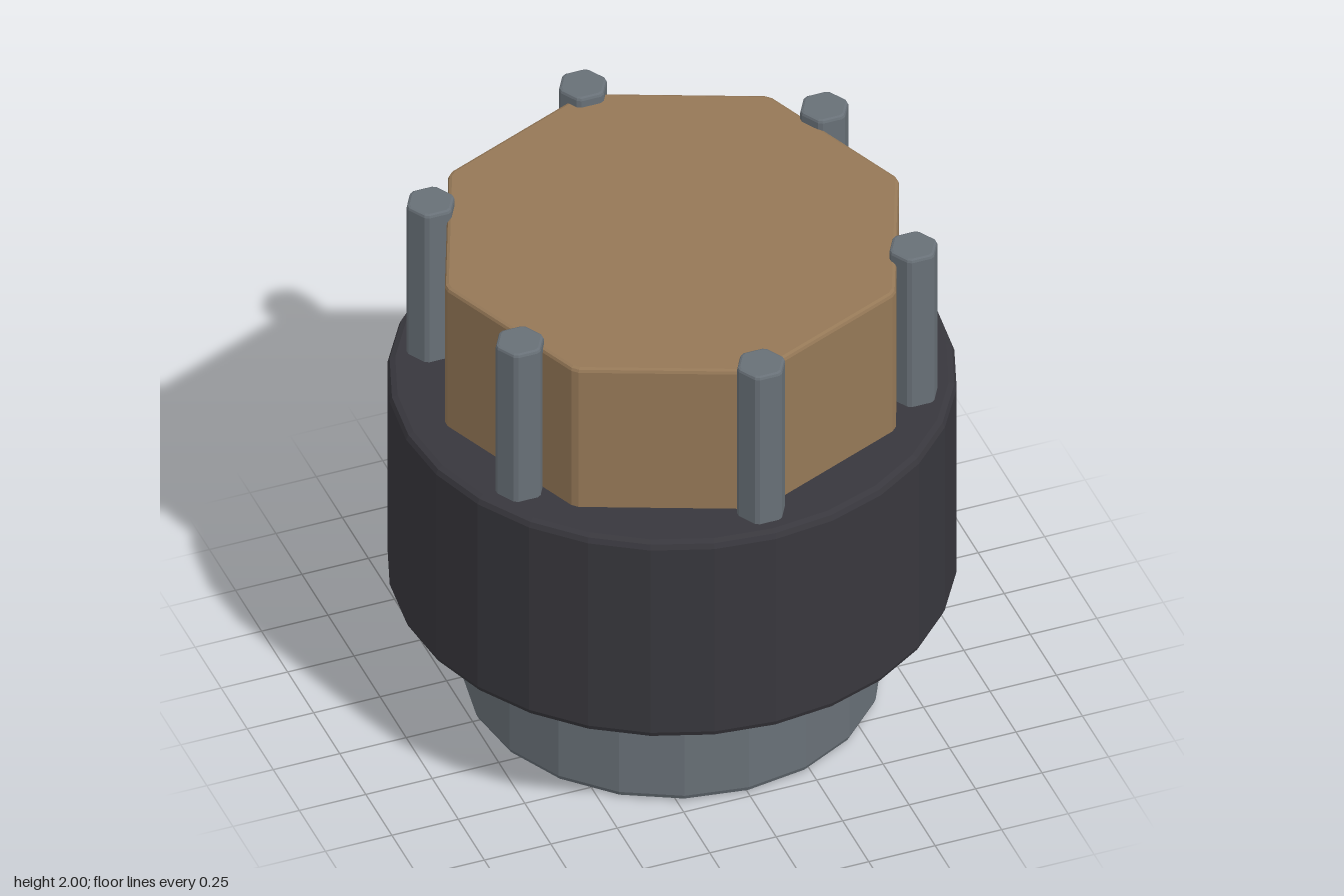
import * as THREE from 'three';

const mat = (name, color, flatShading = true) => {
  const m = new THREE.MeshStandardMaterial({ color, flatShading });
  m.name = name;
  return m;
};

// Regular polygon outline with a corner pointing along +x; chamfer cuts each corner.
function outline(sides, radius, chamfer) {
  const corner = (i) => {
    const a = (i / sides) * Math.PI * 2;
    return new THREE.Vector2(Math.cos(a) * radius, Math.sin(a) * radius);
  };
  const pts = [];
  for (let i = 0; i < sides; i++) {
    const p = corner(i);
    if (!chamfer) { pts.push(p); continue; }
    for (const j of [i - 1, i + 1]) {
      const q = corner(j);
      pts.push(p.clone().lerp(q, chamfer / p.distanceTo(q)));
    }
  }
  return pts;
}

// Upright prism with rounded top and bottom rims, built ring by ring.
function prism(sides, radius, y0, y1, bevel, chamfer = 0) {
  const base = outline(sides, radius, chamfer);
  const n = base.length;
  const rings = [];
  const steps = 2;
  for (let s = 0; s <= steps; s++) {
    const a = (s / steps) * Math.PI / 2;
    rings.push([radius - bevel * (1 - Math.sin(a)), y0 + bevel * (1 - Math.cos(a))]);
  }
  for (let s = steps; s >= 0; s--) {
    const a = (s / steps) * Math.PI / 2;
    rings.push([radius - bevel * (1 - Math.sin(a)), y1 - bevel * (1 - Math.cos(a))]);
  }
  const pos = [];
  const index = [];
  for (const [r, y] of rings) {
    for (const p of base) pos.push(p.x * r / radius, y, p.y * r / radius);
  }
  for (let k = 0; k < rings.length - 1; k++) {
    for (let i = 0; i < n; i++) {
      const a = k * n + i, b = k * n + (i + 1) % n;
      index.push(a, a + n, b, b, a + n, b + n);
    }
  }
  // end caps
  const bottom = pos.length / 3, top = bottom + 1, last = (rings.length - 1) * n;
  pos.push(0, y0, 0, 0, y1, 0);
  for (let i = 0; i < n; i++) {
    const j = (i + 1) % n;
    index.push(bottom, i, j, top, last + j, last + i);
  }
  const g = new THREE.BufferGeometry();
  g.setAttribute('position', new THREE.Float32BufferAttribute(pos, 3));
  g.setIndex(index);
  const flat = g.toNonIndexed();
  flat.computeVertexNormals();
  return flat;
}

export function createModel() {
  const model = new THREE.Group();
  model.name = 'pinnedSocket';
  const steel = mat('steel', 0x687077);
  const dark = mat('darkCollar', 0x38373d);
  const tan = mat('tanCore', 0x957857);

  const add = (name, geometry, material, parent = model) => {
    const mesh = new THREE.Mesh(geometry, material);
    mesh.name = name;
    parent.add(mesh);
    return mesh;
  };

  add('baseStem', prism(20, 0.737, 0.005, 0.5, 0.025), steel);
  add('collar', prism(28, 1, 0.485, 1.35, 0.028), dark);
  add('core', prism(8, 0.855, 1.2, 1.96, 0.015, 0.015), tan);

  // dark recess marking under the stem
  add('undersideDisc', new THREE.CylinderGeometry(0.46, 0.46, 0.008, 24), dark).position.y = 0.004;

  // six hexagonal pins around the core
  const pins = new THREE.Group();
  pins.name = 'pins';
  model.add(pins);
  const pinGeometry = prism(6, 0.092, 1.25, 2, 0.012, 0.01);
  for (let i = 0; i < 6; i++) {
    const a = Math.PI / 6 + (i * Math.PI) / 3;
    add('pin' + (i + 1), pinGeometry, steel, pins)
      .position.set(Math.cos(a) * 0.855, 0, Math.sin(a) * 0.855);
  }
  return model;
}
